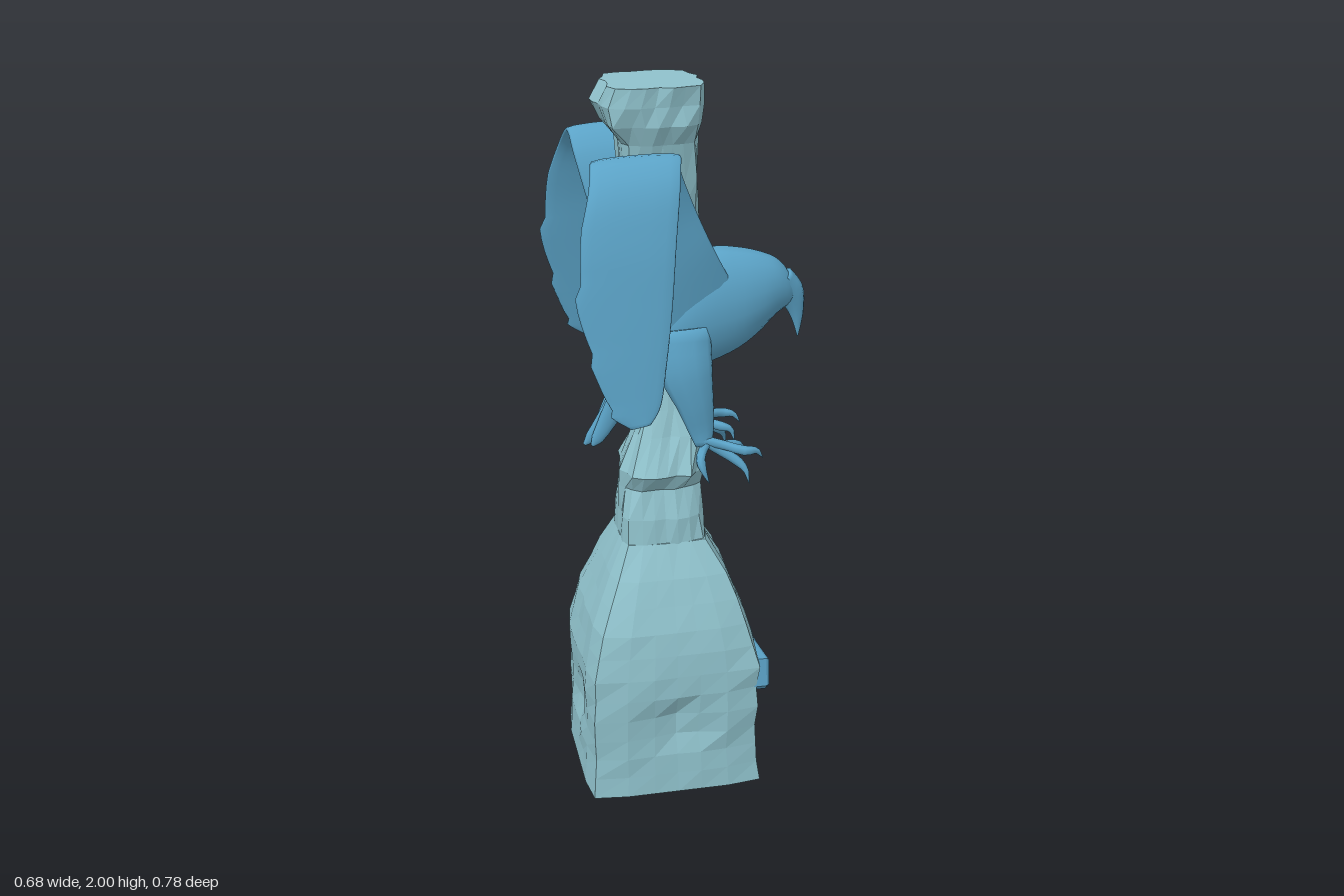
import * as THREE from 'three';

const V = (x, y, z) => new THREE.Vector3(x, y, z);
const rockMat = new THREE.MeshStandardMaterial({ color: 0x8fc1cb, flatShading: true });
const birdMat = new THREE.MeshStandardMaterial({ color: 0x5ba3c7 });
const hash = (i, j) => { const s = Math.sin(i * 127.1 + j * 311.7) * 43758.5453; return s - Math.floor(s); };

// Closed outline round c with half axes u and v; a higher e is more square
function ring(c, u, v, n, e = 2) {
  return Array.from({ length: n }, (_, j) => {
    const a = (j / n) * Math.PI * 2, cs = Math.cos(a), sn = Math.sin(a);
    const r = (Math.abs(cs) ** e + Math.abs(sn) ** e) ** (-1 / e);
    return c.clone().addScaledVector(u, cs * r).addScaledVector(v, sn * r);
  });
}

// Skin a list of rings and close both ends
function loft(rings) {
  const n = rings[0].length, m = rings.length, pts = rings.flat(), idx = [];
  for (let i = 0; i < m - 1; i++) for (let j = 0; j < n; j++) {
    const k = (j + 1) % n, a = i * n + j, b = i * n + k;
    idx.push(a, b, b + n, a, b + n, a + n);
  }
  const mid = r => r.reduce((s, p) => s.add(p), V(0, 0, 0)).divideScalar(n);
  pts.push(mid(rings[0]), mid(rings[m - 1]));
  for (let j = 0; j < n; j++) {
    const k = (j + 1) % n, o = (m - 1) * n;
    idx.push(m * n, k, j, m * n + 1, o + j, o + k);
  }
  const g = new THREE.BufferGeometry().setFromPoints(pts);
  g.setIndex(idx);
  g.computeVertexNormals();
  return g;
}

// Mirror a geometry across z = 0, keeping its faces outward
function mirrored(geo) {
  const g = geo.clone().scale(1, 1, -1);
  g.setIndex(Array.from(geo.index.array).reverse());
  g.computeVertexNormals();
  return g;
}

// Tapering limb through [x, y, z, radius in the x-y plane, radius across]
function limb(rows, n = 10, steps = 12) {
  const path = new THREE.CatmullRomCurve3(rows.map(r => V(r[0], r[1], r[2])));
  const size = new THREE.CatmullRomCurve3(rows.map(r => V(r[3], r[4] ?? r[3], 0)));
  return loft(Array.from({ length: steps + 1 }, (_, i) => {
    const t = path.getTangent(i / steps), s = size.getPoint(i / steps);
    const v = V(0, 0, 1).addScaledVector(t, -t.z).normalize();
    const u = v.clone().cross(t);
    return ring(path.getPoint(i / steps), u.multiplyScalar(s.x), v.multiplyScalar(s.y), n);
  }));
}

// Faceted rock from [y, x0, x1, half depth, squareness]
function rock(rows, step, rough, dents) {
  const rings = [], n = 24;
  const add = (r, i, amp) => {
    const [y, x0, x1, hz, e] = r, cx = (x0 + x1) / 2;
    rings.push(ring(V(cx, y, 0), V((x1 - x0) / 2, 0, 0), V(0, 0, -hz), n, e).map((p, j) => {
      let k = 1 - amp * hash(i, j);
      // hollows worn into the two long sides and the back
      if (dents) for (const d of [6, 12, 18]) k -= 0.13 * Math.exp(-((j - d) ** 2) / 1.5 - ((y - 0.21) / 0.05) ** 2);
      return V(cx + (p.x - cx) * k, p.y, p.z * k);
    }));
  };
  for (let i = 0; i < rows.length - 1; i++) {
    const a = rows[i], b = rows[i + 1], c = Math.max(1, Math.round((b[0] - a[0]) / step));
    for (let s = 0; s < c; s++) add(a.map((q, k) => q + (b[k] - q) * s / c), rings.length, rings.length ? rough : 0);
  }
  add(rows.at(-1), rings.length, rough);
  return loft(rings);
}

// Thin arched wing on the +z side: leading and trailing edges from root to tip
function wing() {
  const lead = new THREE.CatmullRomCurve3([
    [0.14, 1.44, 0.06], [0.07, 1.57, 0.095], [0.01, 1.7, 0.115], [-0.03, 1.8, 0.15], [-0.04, 1.845, 0.21], [-0.055, 1.79, 0.275],
    [-0.075, 1.65, 0.32], [-0.09, 1.5, 0.345], [-0.11, 1.35, 0.365], [-0.13, 1.24, 0.378], [-0.155, 1.2, 0.384]].map(p => V(...p)));
  const trail = new THREE.CatmullRomCurve3([
    [-0.12, 1.22, 0.05], [-0.16, 1.42, 0.075], [-0.22, 1.62, 0.1], [-0.26, 1.78, 0.14], [-0.27, 1.835, 0.2], [-0.285, 1.78, 0.265],
    [-0.32, 1.65, 0.31], [-0.333, 1.5, 0.335], [-0.3, 1.35, 0.358], [-0.26, 1.23, 0.375], [-0.22, 1.19, 0.382]].map(p => V(...p)));
  const N = 44, rings = [];
  for (let i = 0; i <= N; i++) {
    const f = i / N, a = lead.getPoint(f), b = trail.getPoint(f);
    if (f > 0.55) b.x += 0.014 * ((i % 5) / 4); // feather steps
    const u = a.clone().sub(b).multiplyScalar(0.5);
    const t = lead.getTangent(f).add(trail.getTangent(f));
    const v = t.cross(u).normalize().multiplyScalar(0.017 - 0.012 * f);
    rings.push(ring(a.add(b).multiplyScalar(0.5), u, v, 16, 2.6));
  }
  return loft(rings);
}

// Flat relief on the +x face, drawn with the horizontal axis along -z
function relief(shape, x0, x1) {
  const g = new THREE.ExtrudeGeometry(shape, { depth: x1 - x0 - 0.008, bevelThickness: 0.008, bevelSize: 0.005, bevelOffset: -0.005, bevelSegments: 1, curveSegments: 14 });
  return g.rotateY(Math.PI / 2).translate(x0, 0, 0);
}
const poly = pts => new THREE.Shape(pts.map(p => new THREE.Vector2(...p)));

export function createModel() {
  const model = new THREE.Group();
  const add = (name, geo, mat = birdMat, parent = model) => {
    const m = new THREE.Mesh(geo, mat);
    m.name = name;
    parent.add(m);
  };
  const pair = (name, geo, parent) => {
    add(name + 'Left', geo, birdMat, parent);
    add(name + 'Right', mirrored(geo), birdMat, parent);
  };

  // Stone base and the rough pillar above it
  add('base', rock([[0, -0.31, 0.2, 0.245, 14], [0.18, -0.31, 0.195, 0.245, 12], [0.37, -0.308, 0.198, 0.245, 12], [0.5, -0.28, 0.17, 0.222, 10],
    [0.64, -0.222, 0.115, 0.165, 9], [0.73, -0.18, 0.06, 0.118, 9]], 0.065, 0.035, true), rockMat);
  add('pillar', rock([[0.7, -0.18, 0.06, 0.118, 8], [0.8, -0.185, 0.06, 0.115, 6], [0.88, -0.18, 0.055, 0.092, 4], [0.93, -0.18, 0.06, 0.125, 4],
    [1.03, -0.14, 0.06, 0.075, 4], [1.1, -0.115, 0.03, 0.045, 4], [1.18, -0.1, 0, 0.02, 4], [1.3, -0.12, 0, 0.04, 4],
    [1.5, -0.15, 0.035, 0.05, 4], [1.62, -0.155, 0.055, 0.065, 4], [1.75, -0.165, 0.05, 0.09, 4], [1.85, -0.175, 0.045, 0.112, 5],
    [1.9, -0.215, 0.055, 0.13, 5], [1.95, -0.235, 0.06, 0.132, 4], [2, -0.21, 0.058, 0.13, 5]], 0.07, 0.14, false), rockMat);

  // Bird
  const bird = new THREE.Group();
  bird.name = 'bird';
  model.add(bird);
  const slices = [[-0.17, 1.18, 1.25, 0.03], [-0.1, 1.17, 1.38, 0.065], [0, 1.2, 1.5, 0.088], [0.08, 1.22, 1.545, 0.092], [0.16, 1.255, 1.54, 0.088],
    [0.22, 1.3, 1.525, 0.075], [0.265, 1.345, 1.505, 0.057], [0.295, 1.365, 1.475, 0.04], [0.315, 1.38, 1.435, 0.022]];
  const bodyTop = new THREE.CatmullRomCurve3(slices.map(s => V(s[0], s[2], s[3])));
  const bodyLow = new THREE.CatmullRomCurve3(slices.map(s => V(s[0], s[1], s[3])));
  add('bodyAndHead', loft(Array.from({ length: 25 }, (_, i) => {
    const a = bodyTop.getPoint(i / 24), b = bodyLow.getPoint(i / 24);
    return ring(V((a.x + b.x) / 2, (a.y + b.y) / 2, 0), V((a.x - b.x) / 2, (a.y - b.y) / 2, 0), V(0, 0, a.z), 18);
  })), birdMat, bird);
  add('beak', limb([[0.275, 1.44, 0, 0.045, 0.042], [0.308, 1.405, 0, 0.04, 0.028], [0.326, 1.355, 0, 0.024, 0.016], [0.332, 1.31, 0, 0.011, 0.008], [0.333, 1.275, 0, 0.002]]), birdMat, bird);
  pair('wing', wing(), bird);

  // Tail of three overlapping feathers
  for (const [k, z] of [[0, 0.014], [1, 0], [2, -0.014]])
    add('tailFeather', limb([[-0.07, 1.32, z * 2, 0.05, 0.035], [-0.14, 1.2, z * 1.5, 0.035, 0.022], [-0.19, 1.1, z, 0.03, 0.014], [-0.235 - (k % 2) * 0.015, 1.02, z, 0.018, 0.01], [-0.25 - (k % 2) * 0.02, 1, z, 0.005]]), birdMat, bird);

  // Legs with clawed toes
  pair('leg', limb([[-0.01, 1.34, 0.07, 0.08, 0.035], [-0.005, 1.24, 0.098, 0.075, 0.033], [0.02, 1.14, 0.108, 0.052, 0.022], [0.038, 1.06, 0.105, 0.036, 0.015], [0.045, 1.015, 0.105, 0.024, 0.014]]), bird);
  const toes = [
    [[0.04, 1.03, 0.105], [0.1, 1.015, 0.12], [0.15, 1.005, 0.145], [0.185, 1, 0.14], [0.205, 0.975, 0.135]],
    [[0.04, 1.03, 0.105], [0.09, 0.995, 0.11], [0.13, 0.97, 0.12], [0.155, 0.945, 0.135], [0.165, 0.905, 0.145]],
    [[0.04, 1.03, 0.105], [0.09, 1.005, 0.09], [0.13, 0.995, 0.07], [0.16, 0.985, 0.06], [0.17, 0.95, 0.055]],
    [[0.06, 1.03, 0.105], [0.04, 1, 0.115], [0.03, 0.98, 0.135], [0.035, 0.955, 0.15], [0.05, 0.92, 0.155]]];
  const thick = [0.014, 0.013, 0.014, 0.009, 0.001];
  toes.forEach(t => pair('toe', limb(t.map((p, i) => [...p, thick[i]]), 7, 10), bird));

  // Carved emblem on the +x face: brow, eye ring, pupil and fringe
  add('emblemBrow', relief(poly([[-0.225, 0.305], [-0.205, 0.285], [-0.09, 0.335], [0.09, 0.335], [0.2, 0.29], [0.23, 0.3], [0.225, 0.385], [0.06, 0.365], [-0.06, 0.365], [-0.215, 0.388]]), 0.16, 0.214));
  const eye = new THREE.Shape().absarc(0, 0.285, 0.11, 0, Math.PI * 2);
  eye.holes.push(new THREE.Path().absarc(0, 0.27, 0.056, 0, Math.PI * 2, true));
  add('emblemEyeRing', relief(eye, 0.16, 0.207));
  add('emblemPupil', relief(poly([[-0.04, 0.245], [-0.025, 0.23], [0.025, 0.23], [0.04, 0.245], [0.04, 0.295], [0.025, 0.31], [-0.025, 0.31], [-0.04, 0.295]]), 0.16, 0.22));
  const fringe = [[0.165, 0.115], [0.17, 0.14], [0.14, 0.17], [-0.11, 0.175], [-0.11, 0.1], [-0.09, 0.1], [-0.09, 0.145]];
  for (const x of [-0.065, -0.022, 0.022, 0.065]) fringe.push([x, 0.145], [x, 0.085], [x + 0.02, 0.085], [x + 0.02, 0.145]);
  add('emblemFringe', relief(poly([...fringe, [0.13, 0.14]]), 0.16, 0.205));
  return model;
}
